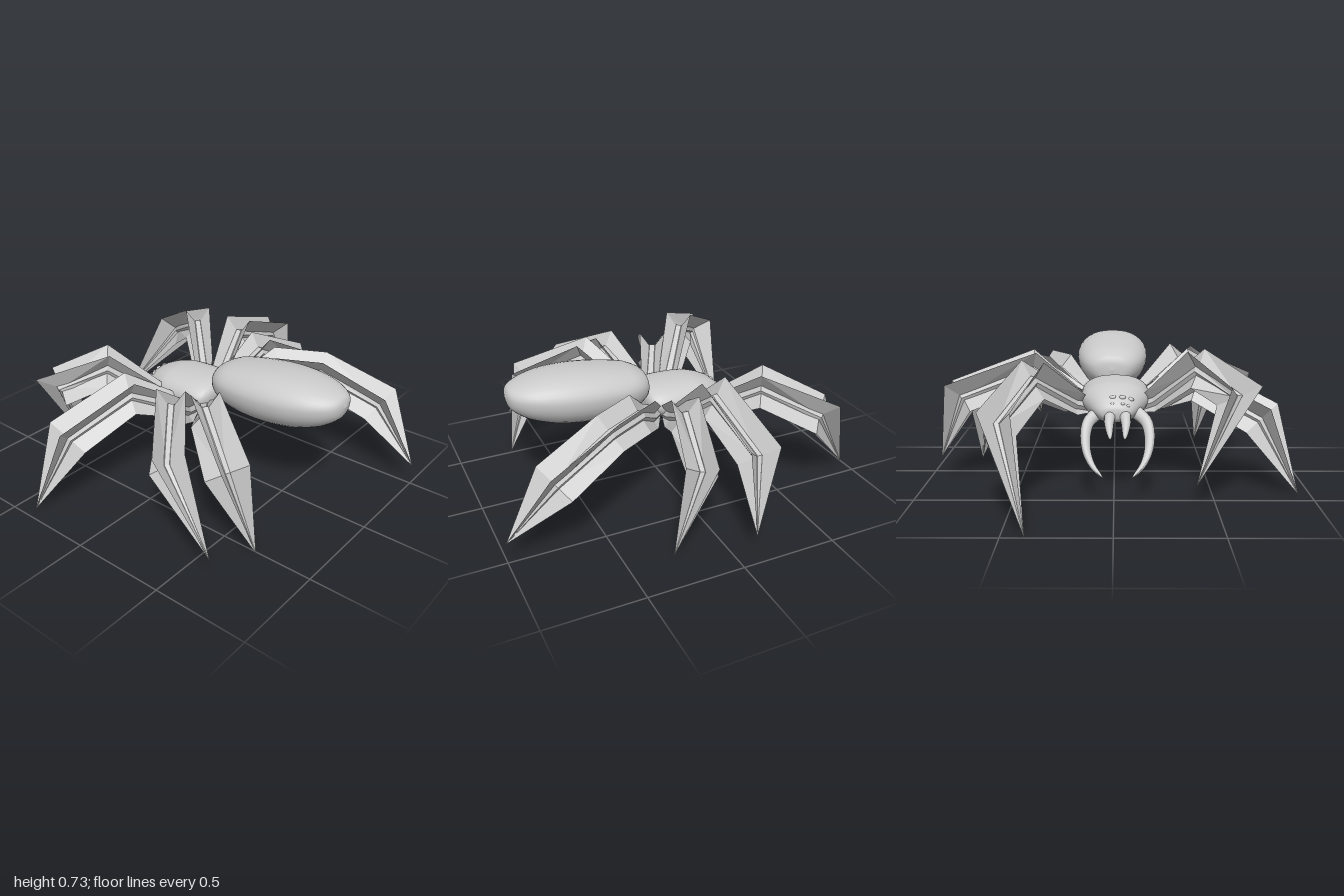
import * as THREE from 'three';
import { mergeGeometries } from 'three/addons/utils/BufferGeometryUtils.js';

const smooth = new THREE.MeshStandardMaterial({ color: 0xcccccc });
const faceted = new THREE.MeshStandardMaterial({ color: 0xcccccc, flatShading: true, side: THREE.DoubleSide });
const V = (x, y, z) => new THREE.Vector3(x, y, z);

// Surface through rows of points; each row is a closed ring or an open strip
function skin(rows, closed = true) {
  const n = rows[0].length, index = [];
  for (let i = 0; i < rows.length - 1; i++) {
    for (let j = 0; j < (closed ? n : n - 1); j++) {
      const k = (j + 1) % n, a = i * n + j, b = i * n + k;
      index.push(a, b, a + n, b, b + n, a + n);
    }
  }
  const g = new THREE.BufferGeometry().setFromPoints(rows.flat());
  g.setIndex(index);
  g.computeVertexNormals();
  return g;
}

// Body lobe along z: stations are [z, half width, bottom y, widest y, top y]
function lobe(stations, cx) {
  const curves = [0, 1].map((k) => new THREE.CatmullRomCurve3(
    stations.map((s) => (k ? V(s[2], s[3], s[4]) : V(s[0], s[1], 0))), false, 'centripetal'));
  const rows = [], steps = (stations.length - 1) * 4;
  for (let i = 0; i <= steps; i++) {
    const p = curves[0].getPoint(i / steps);
    const h = curves[1].getPoint(i / steps);
    const row = [];
    for (let j = 0; j < 32; j++) {
      const a = (j / 32) * Math.PI * 2, c = Math.cos(a), s = Math.sin(a);
      const x = Math.sign(c) * Math.abs(c) ** 0.85;
      row.push(V(cx + Math.max(p.y, 0) * x, h.y + s * (s > 0 ? h.z - h.y : h.y - h.x), p.x));
    }
    rows.push(row);
  }
  return skin(rows);
}

// Curved horn that narrows to a point
function horn(points, radius, power) {
  const curve = new THREE.CatmullRomCurve3(points.map((p) => V(...p)));
  const steps = 20, sides = 12;
  const g = new THREE.TubeGeometry(curve, steps, radius, sides);
  const pos = g.attributes.position, v = V(0, 0, 0);
  for (let i = 0; i < pos.count; i++) {
    const t = Math.floor(i / (sides + 1)) / steps;
    const c = curve.getPointAt(t);
    v.fromBufferAttribute(pos, i).sub(c).multiplyScalar((1 - t) ** power).add(c);
    pos.setXYZ(i, v.x, v.y, v.z);
  }
  g.computeVertexNormals();
  return g;
}

// Leg: six-sided core with four long fins in an X section
function leg(path) {
  const joints = path.map((p) => V(...p));
  const last = joints.length - 1;
  const bends = joints.length - 4;
  const finSize = [0.025, 0.052, ...Array(bends).fill(0.072), 0.078, 0];
  const coreSize = [0.035, 0.033, ...Array(bends).fill(0.029), 0.024, 0];
  const frames = joints.map((p, i) => {
    const into = joints[Math.max(i, 1)].clone().sub(joints[Math.max(i, 1) - 1]).normalize();
    const out = joints[Math.min(i + 1, last)].clone().sub(joints[Math.min(i, last - 1)]).normalize();
    const t = into.clone().add(out).normalize();
    const side = V(-t.z, 0, t.x).normalize();
    const up = side.clone().cross(t).multiplyScalar(Math.min(1 / t.dot(into), 1.2));
    return { p, side, up };
  });
  const at = (f, a, b) => f.p.clone().addScaledVector(f.side, a).addScaledVector(f.up, b);
  const parts = [skin(frames.map((f, i) => Array.from({ length: 6 }, (_, j) => {
    const a = (j / 6) * Math.PI * 2;
    return at(f, Math.cos(a) * coreSize[i], Math.sin(a) * coreSize[i]);
  })))];
  for (const sx of [-1, 1]) {
    for (const sy of [-1, 1]) {
      parts.push(skin(frames.map((f, i) => [f.p.clone(),
        at(f, sx * finSize[i], sy * finSize[i] * (sy > 0 ? 1.25 : 0.95))]), false));
    }
  }
  return mergeGeometries(parts);
}

export function createModel() {
  const model = new THREE.Group();
  const add = (name, geometry, material = smooth) => {
    const mesh = new THREE.Mesh(geometry, material);
    mesh.name = name;
    model.add(mesh);
    return mesh;
  };

  // Head and thorax in one shell, then the raised abdomen
  add('headAndThorax', lobe([
    [-0.39, 0, 0.42, 0.42, 0.42], [-0.38, 0.07, 0.38, 0.42, 0.455], [-0.34, 0.108, 0.36, 0.43, 0.495],
    [-0.28, 0.14, 0.35, 0.44, 0.525], [-0.2, 0.172, 0.35, 0.45, 0.545], [-0.08, 0.18, 0.35, 0.455, 0.55],
    [0.02, 0.175, 0.36, 0.46, 0.545], [0.075, 0.145, 0.39, 0.465, 0.53], [0.1, 0, 0.48, 0.48, 0.48],
  ], -0.005));
  add('abdomen', lobe([
    [0.07, 0, 0.56, 0.56, 0.56], [0.085, 0.1, 0.49, 0.57, 0.63], [0.16, 0.16, 0.45, 0.58, 0.672],
    [0.3, 0.195, 0.43, 0.59, 0.7], [0.45, 0.204, 0.432, 0.6, 0.718], [0.6, 0.19, 0.455, 0.61, 0.72],
    [0.73, 0.145, 0.5, 0.62, 0.7], [0.81, 0.075, 0.56, 0.625, 0.67], [0.83, 0, 0.625, 0.625, 0.625],
  ], 0.013));

  // Mouthparts and eyes, mirrored about the head's own centre line
  for (const s of [-1, 1]) {
    const side = s > 0 ? 'left' : 'right';
    const x = (d) => -0.018 + s * d;
    add(side + 'Fang', horn([[x(0.09), 0.41, -0.29], [x(0.15), 0.36, -0.35], [x(0.16), 0.26, -0.42],
      [x(0.128), 0.18, -0.48], [x(0.07), 0.12, -0.52]], 0.036, 0.55));
    add(side + 'Feeler', horn([[x(0.03), 0.43, -0.32], [x(0.042), 0.38, -0.41],
      [x(0.036), 0.31, -0.49]], 0.035, 0.5));
    for (const [d, y, z, r] of [[0.024, 0.49, -0.335, 0.018], [0.066, 0.478, -0.328, 0.017],
      [0.026, 0.463, -0.366, 0.011], [0.052, 0.452, -0.364, 0.011]]) {
      const eye = add(side + 'Eye', new THREE.SphereGeometry(r, 14, 10));
      eye.position.set(x(d), y, z);
      eye.scale.set(1, 0.75, 0.8);
    }
  }

  // Legs as joint paths: hip, thigh root, upper bend or bends, knee, tip
  const legs = {
    leftFrontLeg: [[0.12, 0.4, -0.14], [0.21, 0.43, -0.22], [0.4, 0.585, -0.42], [0.54, 0.43, -0.7], [0.39, 0, -1]],
    leftSecondLeg: [[0.12, 0.4, -0.06], [0.22, 0.43, -0.08], [0.43, 0.595, -0.13], [0.8, 0.455, -0.165], [0.94, 0.11, -0.1]],
    leftThirdLeg: [[0.12, 0.4, -0.01], [0.22, 0.43, 0], [0.42, 0.53, 0.03], [0.71, 0.38, 0.08], [0.78, 0, 0.26]],
    leftRearLeg: [[0.1, 0.41, 0.04], [0.2, 0.44, 0.12], [0.32, 0.53, 0.23], [0.43, 0.525, 0.43],
      [0.53, 0.385, 0.75], [0.5, 0.11, 1]],
    rightFrontLeg: [[-0.13, 0.4, -0.14], [-0.22, 0.44, -0.19], [-0.42, 0.63, -0.35], [-0.6, 0.53, -0.52], [-0.4, 0.11, -0.61]],
    rightSecondLeg: [[-0.13, 0.4, -0.05], [-0.24, 0.43, -0.08], [-0.43, 0.53, -0.18], [-0.75, 0.37, -0.31], [-0.94, 0, -0.4]],
    rightThirdLeg: [[-0.13, 0.4, 0], [-0.24, 0.43, 0.03], [-0.45, 0.565, 0.12], [-0.69, 0.425, 0.3], [-0.79, 0.11, 0.64]],
    rightRearLeg: [[-0.11, 0.41, 0.05], [-0.2, 0.44, 0.12], [-0.38, 0.575, 0.28], [-0.56, 0.42, 0.55], [-0.51, 0, 0.7]],
  };
  for (const [name, path] of Object.entries(legs)) add(name, leg(path), faceted);

  return model;
}
